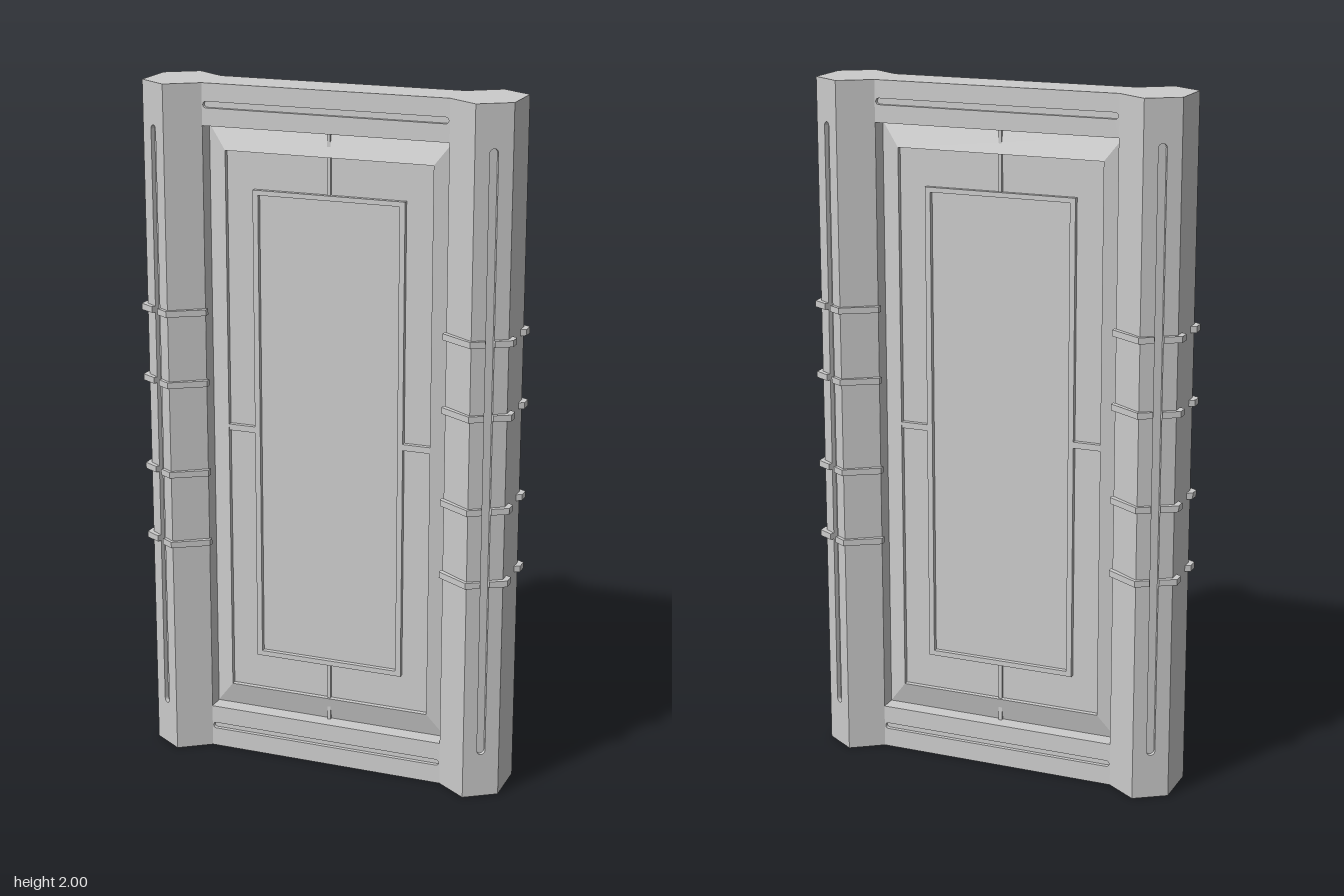
import * as THREE from 'three';

const material = new THREE.MeshStandardMaterial({ color: 0xcccccc, flatShading: true });
const H = 2;
const FACE = 0.067;                                   // z of the flat frame face
const FOOT = [0.36, FACE], APEX = [0.45, 0.128], CORNER = [0.5385, 0.07];
const OPEN = { x: 0.36, y0: 0.127, y1: 1.881 };       // frame opening
const CREST = { x: 0.306, y0: 0.196, y1: 1.81 };      // inner edge of the bevel
const BASE_Z = 0.018, CREST_Z = 0.035, FLOOR_Z = 0.02;

function add(parent, name, geometry) {
  const mesh = new THREE.Mesh(geometry, material);
  mesh.name = name;
  parent.add(mesh);
  return mesh;
}

const polygon = pts => new THREE.Shape(pts.map(p => new THREE.Vector2(...p)));
const rect = (x0, y0, x1, y1) => polygon([[x0, y0], [x1, y0], [x1, y1], [x0, y1]]);

// Slot outline with rounded ends
function slot(x0, y0, x1, y1) {
  const r = Math.min(x1 - x0, y1 - y0) / 2, s = new THREE.Shape();
  if (x1 - x0 > y1 - y0) {
    s.absarc(x1 - r, y0 + r, r, -Math.PI / 2, Math.PI / 2);
    s.absarc(x0 + r, y0 + r, r, Math.PI / 2, Math.PI * 1.5);
  } else {
    s.absarc(x0 + r, y1 - r, r, 0, Math.PI);
    s.absarc(x0 + r, y0 + r, r, Math.PI, Math.PI * 2);
  }
  s.closePath();
  return s;
}

function slab(shape, z0, z1) {
  return new THREE.ExtrudeGeometry(shape, { depth: z1 - z0, bevelEnabled: false, curveSegments: 5 })
    .translate(0, 0, z0);
}

// Upright strip between two plan points, with an optional slot cut in it
function facet(parent, name, a, b, slotted) {
  const dx = b[0] - a[0], dz = b[1] - a[1], w = Math.hypot(dx, dz);
  const g = new THREE.Group();
  g.name = name;
  g.position.set((a[0] + b[0]) / 2, 0, (a[1] + b[1]) / 2);
  g.rotation.y = Math.atan2(-dz, dx);
  parent.add(g);
  const shape = rect(-w / 2, 0, w / 2, H);
  if (slotted) {
    shape.holes.push(slot(-0.012, 0.13, 0.012, 1.88));
    add(g, 'slotFloor', new THREE.ShapeGeometry(rect(-0.02, 0.12, 0.02, 1.89)).translate(0, 0, -0.012));
  }
  add(g, name + 'Plate', slab(shape, -0.012, 0));
}

// Rectangular rings joined in order, from the outside in
function rectLoft(rings) {
  const pos = [];
  const loops = rings.map(([x, y0, y1, z]) => [[-x, y0, z], [x, y0, z], [x, y1, z], [-x, y1, z]]);
  for (let r = 0; r < loops.length - 1; r++) {
    for (let i = 0; i < 4; i++) {
      const j = (i + 1) % 4, o = loops[r], n = loops[r + 1];
      pos.push(...o[i], ...o[j], ...n[j], ...o[i], ...n[j], ...n[i]);
    }
  }
  const g = new THREE.BufferGeometry();
  g.setAttribute('position', new THREE.Float32BufferAttribute(pos, 3));
  g.computeVertexNormals();
  return g;
}

function createPost(side) {
  const post = new THREE.Group();
  post.name = side > 0 ? 'leftPost' : 'rightPost';
  const strip = (name, a, b, slotted) => {
    const pts = [a, b].map(([x, z]) => [x * side, z]);
    if (side < 0) pts.reverse();
    facet(post, name, pts[0], pts[1], slotted);
  };
  strip('innerFacet', FOOT, APEX, false);
  strip('outerFacet', APEX, CORNER, true);
  strip('edgeFacet', CORNER, [CORNER[0], 0], false);

  // Thin bands around the post, broken at the slot
  const bands = {
    bandInner: [[0.353, 0.063], [0.353, 0.08], [0.45, 0.139], [0.487, 0.117], [0.48, 0.107], [0.45, 0.124]],
    bandOuter: [[0.503, 0.092], [0.51, 0.103], [0.554, 0.078], [0.554, 0.046], [0.538, 0.037], [0.538, 0.069]],
  };
  for (const y of [0.655, 0.87, 1.14, 1.35]) {
    for (const [name, pts] of Object.entries(bands)) {
      const geometry = slab(polygon(pts.map(([x, z]) => [x * side, -z])), -0.009, 0.009);
      add(post, name, geometry.rotateX(-Math.PI / 2).translate(0, y, 0));
    }
  }
  return post;
}

// One face of the door; the other is the same turned around
function createFace(name) {
  const face = new THREE.Group();
  face.name = name;
  face.add(createPost(1), createPost(-1));

  // Frame with opening and a slot above and below it
  const frame = rect(-OPEN.x - 0.001, 0, OPEN.x + 0.001, H);
  frame.holes.push(rect(-OPEN.x + 0.0005, OPEN.y0, OPEN.x - 0.0005, OPEN.y1));
  for (const y of [0.065, 1.94]) {
    frame.holes.push(slot(-0.357, y - 0.009, 0.357, y + 0.009));
    add(face, 'frameSlotFloor',
      new THREE.ShapeGeometry(rect(-0.36, y - 0.012, 0.36, y + 0.012)).translate(0, 0, FACE - 0.012));
  }
  add(face, 'frame', slab(frame, BASE_Z - 0.002, FACE));

  // Bevel rising to a crest, then dropping to the sunken panel
  add(face, 'panelBevel', rectLoft([
    [OPEN.x, OPEN.y0, OPEN.y1, BASE_Z],
    [CREST.x, CREST.y0, CREST.y1, CREST_Z],
    [CREST.x, CREST.y0, CREST.y1, FLOOR_Z],
  ]));
  add(face, 'panel',
    new THREE.ShapeGeometry(rect(-CREST.x, CREST.y0, CREST.x, CREST.y1)).translate(0, 0, FLOOR_Z));

  // Raised moulding and the ribs joining it to the bevel
  const moulding = rect(-0.225, 0.302, 0.225, 1.704);
  moulding.holes.push(rect(-0.209, 0.317, 0.209, 1.69));
  add(face, 'moulding', slab(moulding, FLOOR_Z, CREST_Z - 0.001));
  for (const [y0, y1] of [[OPEN.y0, 0.303], [1.703, OPEN.y1]]) {
    add(face, 'verticalRib', slab(rect(-0.005, y0, 0.005, y1), BASE_Z, 0.028));
  }
  for (const s of [-1, 1]) {
    const rib = slab(rect(-0.041, 0.994, 0.041, 1.012), FLOOR_Z, CREST_Z - 0.001);
    add(face, 'sideRib', rib.translate(s * 0.265, 0, 0));
  }
  return face;
}

export function createModel() {
  const model = new THREE.Group();
  model.name = 'doorPanel';
  const front = createFace('frontFace');
  const back = createFace('backFace');
  back.rotation.y = Math.PI;
  model.add(front, back);

  // End caps following the plan outline
  const half = [CORNER, APEX, FOOT];
  const plan = [...half, ...half.map(([x, z]) => [-x, z]).reverse()];
  const outline = polygon([...plan, ...plan.map(([x, z]) => [x, -z]).reverse()]);
  add(model, 'topCap', new THREE.ShapeGeometry(outline).rotateX(-Math.PI / 2).translate(0, H, 0));
  add(model, 'bottomCap', new THREE.ShapeGeometry(outline).rotateX(Math.PI / 2));
  return model;
}
